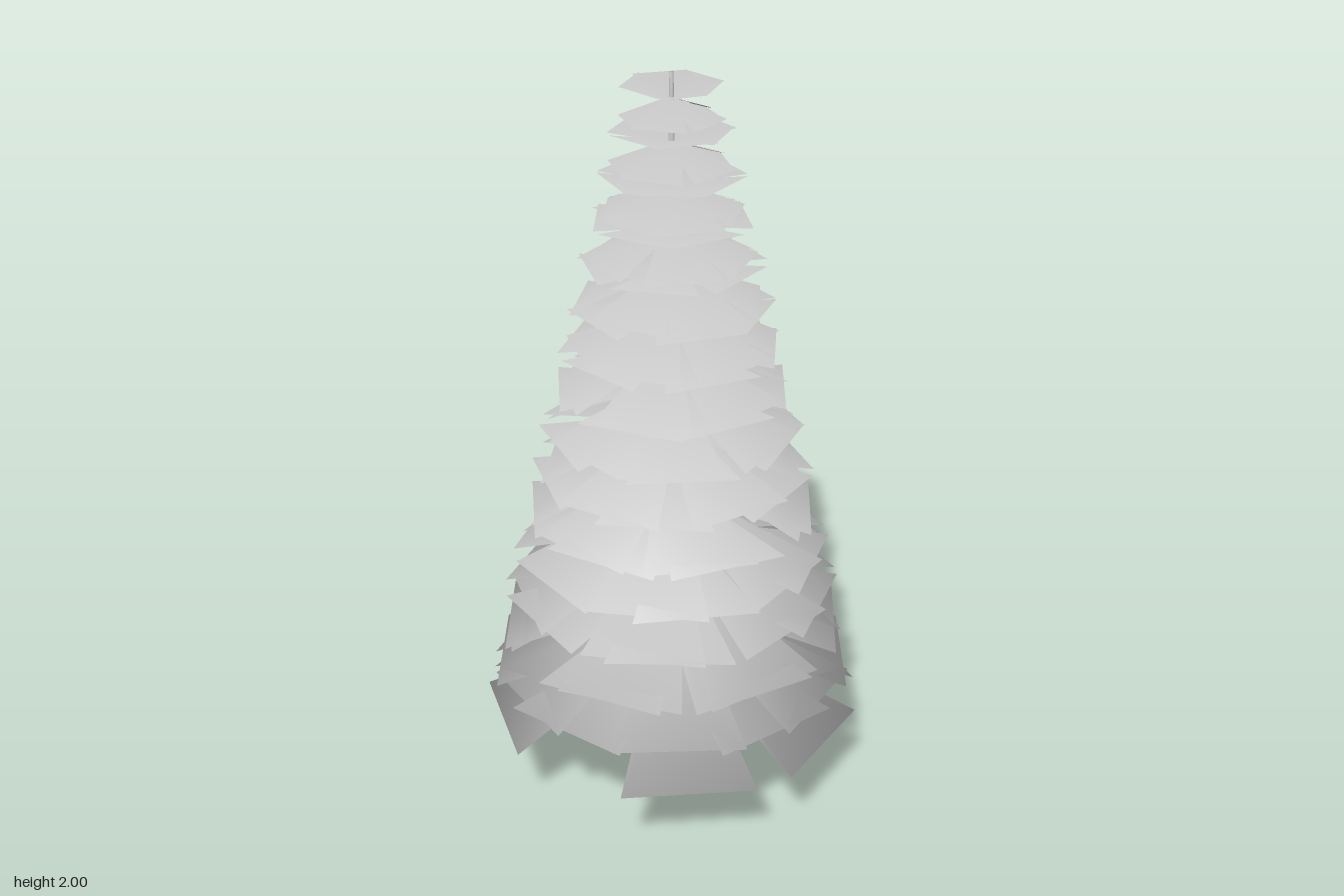
import * as THREE from 'three';

const TIERS = 15;
const AXIS_Z = 0.01;
const SHADE_Y = 0.38;

// Small seeded generator, returns -1..1
function makeJitter(seed) {
  let s = seed;
  return () => {
    s = (s * 16807) % 2147483647;
    return (s / 2147483647) * 2 - 1;
  };
}

// Ring of flat trapezoid boughs, narrow at the trunk and wide at the rim.
// Normals fan out from a low point on the axis, so the foliage shades as one soft volume.
function boughRing(angles, radius, rimY, hubY, halfRim, halfHub) {
  const pos = [];
  const normals = [];
  const index = [];
  const normal = new THREE.Vector3();
  angles.forEach((deg, k) => {
    const a = THREE.MathUtils.degToRad(deg);
    const c = Math.cos(a), s = Math.sin(a);
    const corner = (r, w, y) => {
      const x = r * c - w * s, z = r * s + w * c;
      pos.push(x, y, z);
      normal.set(x, y - SHADE_Y, z).normalize();
      normals.push(normal.x, normal.y, normal.z);
    };
    corner(0, -halfHub, hubY);
    corner(0, halfHub, hubY);
    corner(radius, halfRim, rimY);
    corner(radius, -halfRim, rimY);
    const b = k * 4;
    index.push(b, b + 1, b + 2, b, b + 2, b + 3);
  });
  const geo = new THREE.BufferGeometry();
  geo.setAttribute('position', new THREE.Float32BufferAttribute(pos, 3));
  geo.setAttribute('normal', new THREE.Float32BufferAttribute(normals, 3));
  geo.setIndex(index);
  return geo;
}

export function createModel() {
  const tree = new THREE.Group();
  tree.name = 'coniferTree';
  const material = new THREE.MeshStandardMaterial({ color: 0xcccccc, side: THREE.DoubleSide });
  const jitter = makeJitter(4217);

  // Trunk: open flared foot tapering to a thin leader
  const profile = [[0.055, 0], [0.048, 0.1], [0.04, 0.22], [0.034, 0.345],
    [0.025, 0.8], [0.015, 1.4], [0.006, 1.95], [0.005, 2], [0, 2]];
  const trunk = new THREE.Mesh(
    new THREE.LatheGeometry(profile.map(([r, y]) => new THREE.Vector2(r, y)), 14), material);
  trunk.name = 'trunk';
  trunk.position.z = AXIS_Z;
  tree.add(trunk);

  // Tiers: a drooping ring of six boughs and a flatter ring filling its gaps
  const lowestAngles = [-113, -58, 0, 52, 130, 179];
  for (let i = 0; i < TIERS; i++) {
    const t = i / (TIERS - 1);
    const radius = 0.49 - 0.375 * t;
    const rimY = 0.22 + 1.665 * t;
    const hubY = rimY + 0.42 * radius;
    const upperRimY = rimY + 0.125 - 0.04 * t * t;
    const halfRim = 0.18 - 0.06 * t - 0.05 * t * t;
    const halfHub = 0.03 - 0.01 * t;
    const turn = i === 0 ? 0 : jitter() * 30;

    const spread = (offset) =>
      Array.from({ length: 6 }, (_, k) => k * 60 + offset + jitter() * 9);
    const lowAngles = i === 0 ? lowestAngles : spread(turn);

    const tier = new THREE.Group();
    tier.name = `tier${i + 1}`;
    tier.position.z = AXIS_Z;
    const drooping = new THREE.Mesh(
      boughRing(lowAngles, radius, rimY, hubY, halfRim, halfHub), material);
    drooping.name = 'droopingBoughs';
    const upper = new THREE.Mesh(
      boughRing(spread(turn + 30), radius * 0.97, upperRimY, hubY + 0.003, halfRim, halfHub), material);
    upper.name = 'upperBoughs';
    tier.add(drooping, upper);
    tree.add(tier);
  }
  return tree;
}
